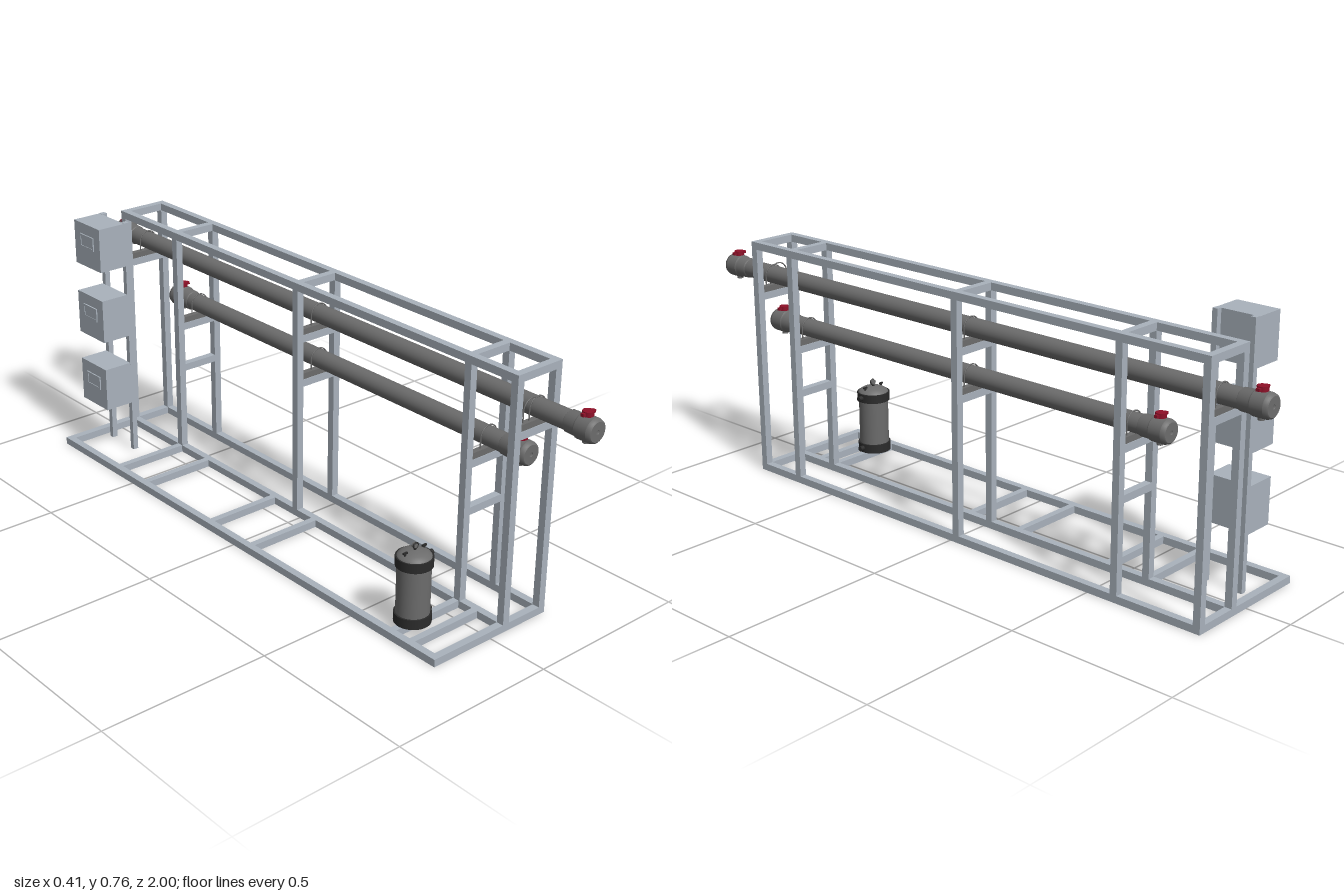
import * as THREE from 'three';

const mat = (name, color, side = THREE.FrontSide) => {
  const m = new THREE.MeshStandardMaterial({ color, side });
  m.name = name;
  return m;
};

export function createModel() {
  const model = new THREE.Group();
  const steel = mat('lightSteel', 0xa9b2bc);
  const grey = mat('pipeGrey', 0x6c6c6c);
  const dark = mat('darkRubber', 0x2b2b2b);
  const red = mat('redClamp', 0x8e1028);

  const add = (parent, name, geo, m, x = 0, y = 0, z = 0) => {
    const mesh = new THREE.Mesh(geo, m);
    mesh.name = name;
    mesh.position.set(x, y, z);
    parent.add(mesh);
    return mesh;
  };
  // box given by its min and max corners
  const box = (parent, name, m, x0, x1, y0, y1, z0, z1) =>
    add(parent, name, new THREE.BoxGeometry(x1 - x0, y1 - y0, z1 - z0), m,
      (x0 + x1) / 2, (y0 + y1) / 2, (z0 + z1) / 2);
  const group = (name) => {
    const g = new THREE.Group();
    g.name = name;
    model.add(g);
    return g;
  };
  const lathe = (pts, n = 32) => new THREE.LatheGeometry(pts.map(p => new THREE.Vector2(...p)), n);

  // ---- frame of square tube ----
  const frame = group('frame');
  const T = 0.022, H = 0.733, Z0 = -0.865, Z1 = 0.817;
  const railX = [0.056, 0.194], postZ = [-0.854, -0.588, -0.022, 0.648, 0.806];
  for (const x of [-0.194, ...railX]) box(frame, 'floorRail', steel, x - T / 2, x + T / 2, 0, T, Z0, Z1);
  for (const z of [postZ[0], postZ[4]]) box(frame, 'floorEnd', steel, -0.183, 0.183, 0, T, z - T / 2, z + T / 2);
  for (const z of [-0.588, -0.45, -0.124, 0.062, 0.645, 0.714])
    box(frame, 'floorCross', steel, -0.183, 0.045, 0, T, z - 0.01, z + 0.01);
  for (const x of railX) {
    box(frame, 'topRail', steel, x - T / 2, x + T / 2, H - T, H, Z0, Z1);
    for (const z of postZ) box(frame, 'post', steel, x - T / 2, x + T / 2, T, H - T, z - T / 2, z + T / 2);
  }
  const cross = (name, y, z) => box(frame, name, steel, 0.067, 0.183, y - T / 2, y + T / 2, z - T / 2, z + T / 2);
  for (const z of postZ) cross('topCross', H - T / 2, z);

  // ---- pipe supports ----
  const PX = 0.135;
  const supports = group('pipeSupports');
  class UBolt extends THREE.Curve {
    constructor(r, drop) { super(); this.r = r; this.drop = drop; }
    getPoint(t, out = new THREE.Vector3()) {
      if (t < 0.2) return out.set(-this.r, -this.drop * (1 - t / 0.2), 0);
      if (t > 0.8) return out.set(this.r, -this.drop * (t - 0.8) / 0.2, 0);
      const a = Math.PI * (1 - (t - 0.2) / 0.6);
      return out.set(this.r * Math.cos(a), this.r * Math.sin(a), 0);
    }
  }
  const support = (y, z) => {
    cross('supportCross', y - 0.058, z);
    box(supports, 'saddle', grey, 0.067, 0.183, y - 0.047, y - 0.029, z - 0.009, z + 0.009);
    add(supports, 'uBolt', new THREE.TubeGeometry(new UBolt(0.0295, 0.03), 40, 0.002, 6), grey, PX, y, z);
  };
  for (const z of [postZ[0], postZ[2], postZ[4]]) support(0.62, z);
  for (const z of [postZ[1], postZ[2], postZ[3]]) support(0.483, z);
  for (const z of [postZ[1], postZ[3]]) cross('lowerCross', 0.287, z);
  add(supports, 'wideUBolt', new THREE.TubeGeometry(new UBolt(0.032, 0.03), 40, 0.002, 6), grey, 0.115, 0.62, 0.806);

  // ---- pressure pipes with end housings ----
  const housing = lathe([[0.026, -0.09], [0.03, -0.086], [0.031, -0.055], [0.034, -0.05], [0.034, -0.05],
    [0.034, -0.012], [0.034, -0.012], [0.031, -0.003], [0.027, 0], [0.027, 0], [0.006, 0], [0.006, 0],
    [0.005, -0.002], [0, -0.002]]);
  const pipe = (name, y, zBack, zFront) => {
    const g = group(name);
    add(g, 'pipeBody', new THREE.CylinderGeometry(0.027, 0.027, zFront - zBack - 0.1, 32), grey,
      PX, y, (zBack + zFront) / 2).rotation.x = Math.PI / 2;
    for (const [z, s] of [[zFront, 1], [zBack, -1]]) {
      add(g, 'endHousing', housing, grey, PX, y, z).rotation.x = s * Math.PI / 2;
      const zc = z - s * 0.034;
      add(g, 'bottomPort', new THREE.CylinderGeometry(0.009, 0.009, 0.012, 16), grey, PX, y - 0.034, zc);
      add(g, 'topPort', new THREE.CylinderGeometry(0.011, 0.011, 0.01, 16), grey, PX, y + 0.033, zc);
      add(g, 'redCollar', new THREE.CylinderGeometry(0.015, 0.015, 0.013, 20), red, PX, y + 0.04, zc);
      add(g, 'redClampBar', new THREE.BoxGeometry(0.046, 0.008, 0.01), red, PX, y + 0.04, zc);
    }
  };
  pipe('upperPipe', 0.62, -1, 1);
  pipe('lowerPipe', 0.482, -0.706, 0.796);

  // ---- control cabinets on two channels ----
  const cabinets = group('controlCabinets');
  for (const [z, s] of [[-0.814, 1], [-0.682, -1]]) {
    const zb = z + s * 0.016;
    box(cabinets, 'cabinetPost', steel, -0.07, -0.053, 0.005, 0.762, Math.min(z, zb), Math.max(z, zb));
  }
  for (const y of [0.17, 0.397, 0.625]) {
    box(cabinets, 'cabinet', steel, -0.162, -0.07, y, y + 0.136, -0.814, -0.682);
    const yc = y + 0.081, zc = -0.748;
    for (const s of [-1, 1]) {
      box(cabinets, 'screenFrame', steel, -0.166, -0.162, yc + s * 0.018 - 0.003, yc + s * 0.018 + 0.003, zc - 0.035, zc + 0.035);
      box(cabinets, 'screenFrame', steel, -0.166, -0.162, yc - 0.015, yc + 0.015, zc + s * 0.032 - 0.003, zc + s * 0.032 + 0.003);
    }
    box(cabinets, 'screen', steel, -0.164, -0.162, yc - 0.015, yc + 0.015, zc - 0.029, zc + 0.029);
  }

  // ---- filter tank ----
  const tank = group('filterTank');
  tank.position.set(-0.117, 0, 0.645);
  add(tank, 'tankBody', new THREE.CylinderGeometry(0.046, 0.046, 0.17, 40), grey, 0, 0.122, 0);
  for (const [y, h] of [[0.037, 0.028], [0.204, 0.027]]) {
    add(tank, 'tankBand', new THREE.CylinderGeometry(0.051, 0.051, h, 40), dark, 0, y, 0);
    add(tank, 'sidePort', new THREE.CylinderGeometry(0.008, 0.008, 0.03, 16), dark, 0.049, y + 0.001, 0).rotation.z = Math.PI / 2;
  }
  add(tank, 'tankLid', lathe([[0.047, 0.217], [0.044, 0.222], [0.033, 0.229], [0.018, 0.233], [0, 0.235]], 40), grey);
  for (const x of [-0.034, 0.034]) {
    add(tank, 'wingBolt', new THREE.CylinderGeometry(0.003, 0.003, 0.02, 10), dark, x, 0.227, 0);
    add(tank, 'wingNut', new THREE.BoxGeometry(0.014, 0.005, 0.005), dark, x, 0.235, 0);
  }
  add(tank, 'gaugeStem', new THREE.CylinderGeometry(0.004, 0.004, 0.012, 10), dark, 0, 0.237, 0);
  add(tank, 'gaugeFace', new THREE.CylinderGeometry(0.008, 0.008, 0.008, 20), grey, 0, 0.247, 0).rotation.x = Math.PI / 2;
  add(tank, 'gaugeRim', new THREE.TorusGeometry(0.008, 0.002, 8, 24), dark, 0, 0.247, 0.003);

  return model;
}
